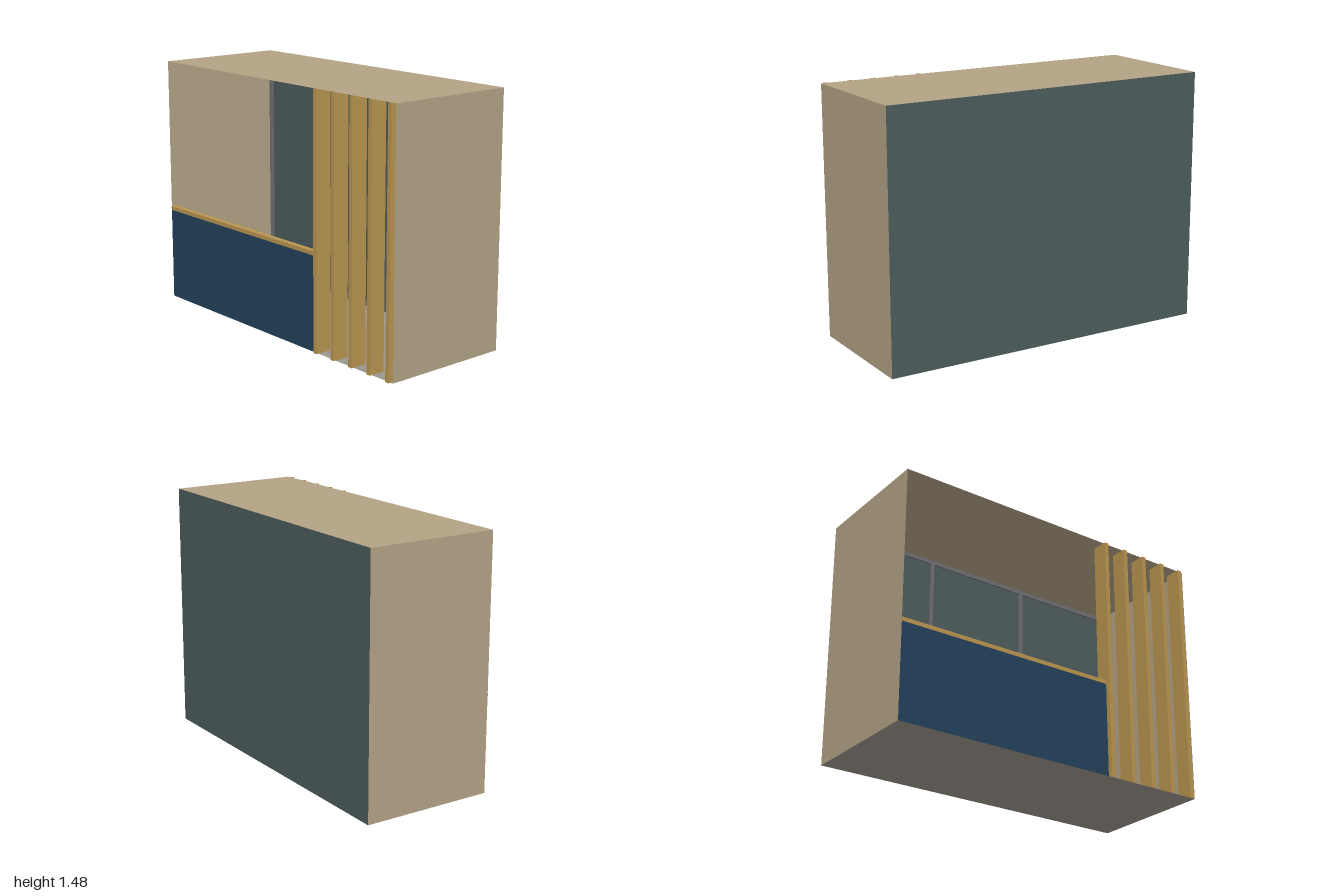
import * as THREE from 'three';

const H = 1.477;       // overall height
const BACK = -0.4;     // rear plane
const FRONT = 0.386;   // shell opening
const TIP = 0.4;       // front of the slats

const mat = (name, color, side = THREE.FrontSide) => {
  const m = new THREE.MeshStandardMaterial({ color, side });
  m.name = name;
  return m;
};

export function createModel() {
  const root = new THREE.Group();
  root.name = 'roomBay';

  const beige = mat('beige wall', 0xb2a285, THREE.DoubleSide);
  const green = mat('dark glass green', 0x4b5b5a, THREE.DoubleSide);
  const blue = mat('navy panel', 0x22405a, THREE.DoubleSide);
  const stone = mat('floor grey', 0x9a958c, THREE.DoubleSide);
  const gold = mat('golden wood', 0xb8944f, THREE.DoubleSide);
  const grey = mat('frame grey', 0x6e6e73);

  const add = (name, geometry, material, x, y, z, parent = root) => {
    const mesh = new THREE.Mesh(geometry, material);
    mesh.name = name;
    mesh.position.set(x, y, z);
    parent.add(mesh);
    return mesh;
  };
  // box given by its two opposite corners
  const box = (name, material, [x0, y0, z0], [x1, y1, z1], parent) =>
    add(name, new THREE.BoxGeometry(x1 - x0, y1 - y0, z1 - z0), material,
      (x0 + x1) / 2, (y0 + y1) / 2, (z0 + z1) / 2, parent);

  // thin shell: roof, floor, side walls and glazed back
  const depth = FRONT - BACK;
  const midZ = (FRONT + BACK) / 2;
  const slab = new THREE.PlaneGeometry(2, depth).rotateX(-Math.PI / 2);
  const side = new THREE.PlaneGeometry(depth, H).rotateY(Math.PI / 2);
  add('roof', slab, beige, 0, H, midZ);
  add('floor', slab, stone, 0, 0, midZ);
  add('leftWall', side, beige, 1, H / 2, midZ);
  add('rightWall', side, beige, -1, H / 2, midZ);
  add('backGlass', new THREE.PlaneGeometry(2, H), green, 0, H / 2, BACK);

  // window frame against the inside of the glass
  const frame = new THREE.Group();
  frame.name = 'windowFrame';
  root.add(frame);
  const z0 = BACK + 0.002, z1 = BACK + 0.012, e = 0.998;
  for (const [a, b] of [[-e, -0.97], [-0.345, -0.323], [0.32, 0.342], [0.97, e]]) {
    box('framePost', grey, [a, 0.03, z0], [b, H - 0.027, z1], frame);
  }
  box('frameBottom', grey, [-e, 0.002, z0], [e, 0.03, z1], frame);
  box('frameTop', grey, [-e, H - 0.027, z0], [e, H - 0.002, z1], frame);

  // low front panel with its wooden rail
  add('frontPanel', new THREE.PlaneGeometry(1.36, 0.557), blue, -0.32, 0.2785, FRONT);
  box('panelRail', gold, [-0.999, 0.555, FRONT - 0.032], [0.36, 0.579, FRONT + 0.002]);

  // upright slats: four-sided tubes without end caps
  const w = 0.013, zb = 0.3;
  const loop = [[-w, zb], [w, zb], [w, TIP], [-w, TIP]];
  for (let i = 0; i < 5; i++) {
    const slat = new THREE.Group();
    slat.name = 'slat';
    slat.position.x = 0.386 + i * 0.1455;
    root.add(slat);
    loop.forEach(([ax, az], k) => {
      const [bx, bz] = loop[(k + 1) % 4];
      const face = add('slatFace', new THREE.PlaneGeometry(Math.hypot(bx - ax, bz - az), H),
        gold, (ax + bx) / 2, H / 2, (az + bz) / 2, slat);
      face.rotation.y = Math.PI - k * Math.PI / 2;
    });
  }
  return root;
}
